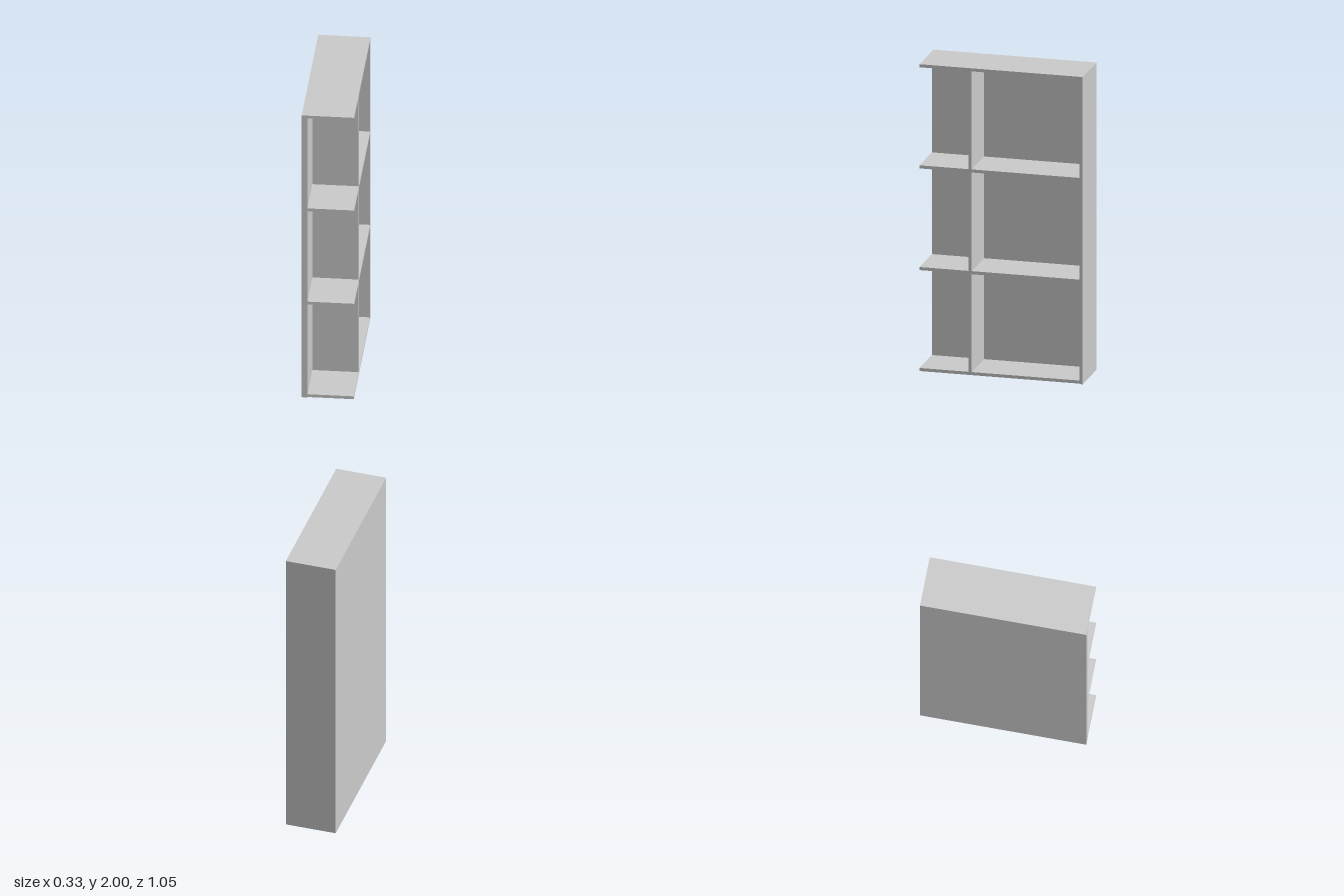
import * as THREE from 'three';

// Tall shelving unit, open toward +x and at the front end (+z).
export function createModel() {
  const group = new THREE.Group();
  const material = new THREE.MeshStandardMaterial({ color: 0xcccccc });

  // Board given by its minimum and maximum on each axis
  function board(name, [x0, x1], [y0, y1], [z0, z1]) {
    const mesh = new THREE.Mesh(new THREE.BoxGeometry(x1 - x0, y1 - y0, z1 - z0), material);
    mesh.position.set((x0 + x1) / 2, (y0 + y1) / 2, (z0 + z1) / 2);
    mesh.name = name;
    group.add(mesh);
  }

  const depth = [-0.127, 0.163];
  const front = 0.527, endInner = -0.506;
  const divider = [0.19, 0.21];

  // Upright panels
  board('backPanel', [-0.163, -0.127], [0, 2], [-front, front]);
  board('endPanel', depth, [0, 2], [-front, endInner]);
  board('divider', depth, [0.023, 1.98], divider);

  // Full-length top and bottom boards
  board('topBoard', depth, [1.98, 2], [endInner, front]);
  board('bottomBoard', depth, [0.003, 0.023], [endInner, front]);

  // Shelves on both sides of the divider
  for (const y of [0.66, 1.322]) {
    board('wideShelf', depth, [y, y + 0.02], [endInner, divider[0]]);
    board('narrowShelf', depth, [y, y + 0.02], [divider[1], front]);
  }

  return group;
}
